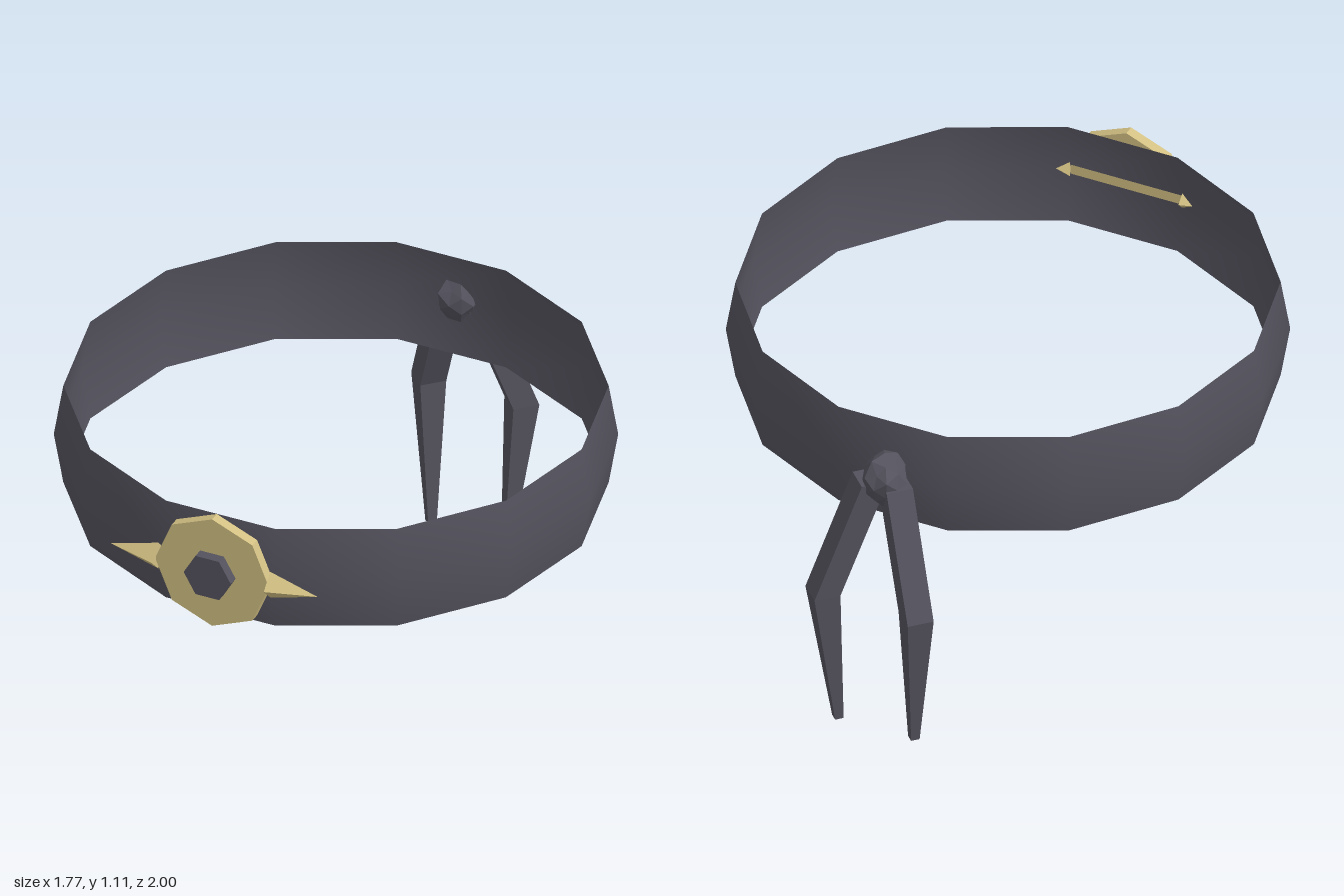
import * as THREE from 'three';

const cloth = new THREE.MeshStandardMaterial({ color: 0x54525d });
cloth.name = 'charcoal cloth';
const bandCloth = new THREE.MeshStandardMaterial({ color: 0x54525d, side: THREE.DoubleSide });
bandCloth.name = 'charcoal band cloth';
const gold = new THREE.MeshStandardMaterial({ color: 0xd2c083 });
gold.name = 'pale gold';

const MID = 0.915; // height of the band's middle

// Splits shared corners so every face is shaded flat
function faceted(geometry) {
  const g = geometry.index ? geometry.toNonIndexed() : geometry;
  g.computeVertexNormals();
  return g;
}

function add(group, name, geometry, material) {
  const mesh = new THREE.Mesh(geometry, material);
  mesh.name = name;
  group.add(mesh);
  return mesh;
}

// Tapered four-sided strip through rings of [x, y, z, radius], top to bottom
function stripGeometry(rings) {
  const g = new THREE.CylinderGeometry(1, 1, 1, 4, rings.length - 1);
  const p = g.attributes.position;
  for (let i = 0; i < p.count; i++) {
    const [x, y, z, r] = rings[Math.round((0.5 - p.getY(i)) * (rings.length - 1))];
    p.setXYZ(i, x + p.getX(i) * r, y, z + p.getZ(i) * r);
  }
  return faceted(g);
}

// Crumpled ball, pushed in and out by a rule of direction
function knotGeometry() {
  const g = new THREE.IcosahedronGeometry(1, 1);
  const p = g.attributes.position;
  for (let i = 0; i < p.count; i++) {
    const x = p.getX(i), y = p.getY(i), z = p.getZ(i);
    const k = 0.92 + 0.13 * Math.sin(5 * x + 3 * y) * Math.cos(4 * z - 2 * y + 1);
    p.setXYZ(i, x * k * 0.08, y * k * 0.102, z * k * 0.088);
  }
  return faceted(g);
}

export function createModel() {
  const model = new THREE.Group();
  model.name = 'headband';

  // Bowed band with fourteen sides
  const profile = [[0.855, -0.18], [0.885, 0], [0.855, 0.18]].map(([r, y]) => new THREE.Vector2(r, y));
  add(model, 'band', new THREE.LatheGeometry(profile, 14, Math.PI / 14), bandCloth)
    .position.set(0, MID, 0.07);

  // Front ornament: octagonal plate, hexagonal stud and side spikes
  const ornament = new THREE.Group();
  ornament.name = 'ornament';
  model.add(ornament);

  const plate = faceted(new THREE.CylinderGeometry(0.198, 0.198, 0.035, 8).rotateX(Math.PI / 2));
  add(ornament, 'plate', plate, gold).position.set(0, MID, 0.9475);

  const stud = faceted(new THREE.CylinderGeometry(0.082, 0.082, 0.04, 6)
    .rotateY(Math.PI / 6 * 3).rotateX(Math.PI / 2));
  const studMesh = add(ornament, 'stud', stud, cloth);
  studMesh.position.set(0, MID, 0.98);

  for (const side of [1, -1]) {
    const spike = faceted(new THREE.ConeGeometry(0.048, 0.165, 4).rotateZ(-side * Math.PI / 2));
    add(ornament, side > 0 ? 'leftSpike' : 'rightSpike', spike, gold)
      .position.set(side * 0.2775, MID, 0.949);
  }

  // Knot at the back with two hanging tails
  add(model, 'knot', knotGeometry(), cloth).position.set(0, 0.92, -0.825);
  for (const side of [1, -1]) {
    const tail = stripGeometry([
      [side * 0.043, 0.92, -0.84, 0.062],
      [side * 0.162, 0.505, -0.936, 0.061],
      [side * 0.132, 0, -0.89, 0.02],
    ]);
    add(model, side > 0 ? 'leftTail' : 'rightTail', tail, cloth);
  }

  return model;
}
